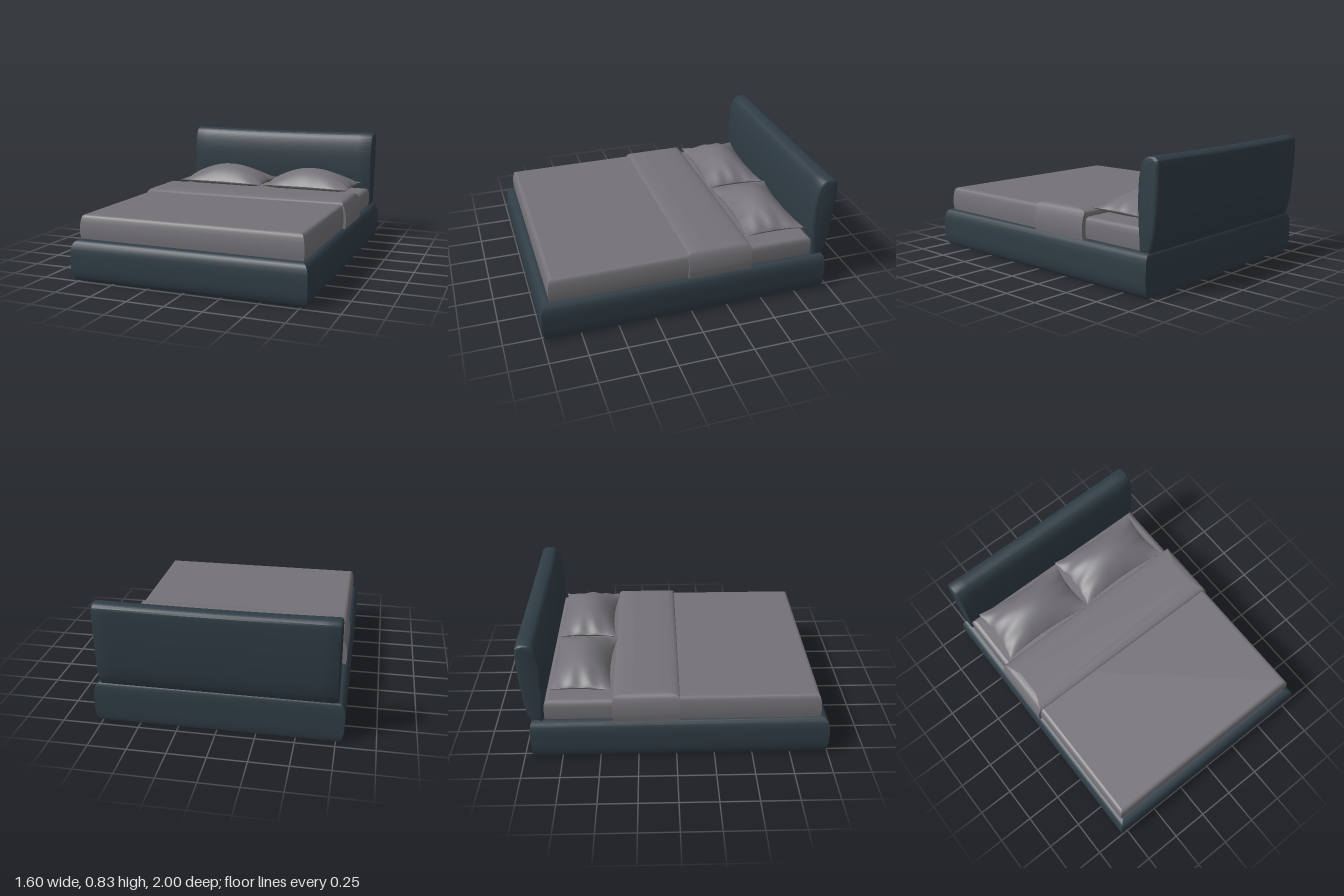
import * as THREE from 'three';
import { mergeGeometries, toCreasedNormals } from 'three/addons/utils/BufferGeometryUtils.js';

const slate = new THREE.MeshStandardMaterial({ color: 0x2f3c45 });
slate.name = 'slate upholstery';
const linen = new THREE.MeshStandardMaterial({ color: 0x747277 });
linen.name = 'grey linen';

function part(name, geometry, material) {
  const mesh = new THREE.Mesh(geometry, material);
  mesh.name = name;
  return mesh;
}

// Geometry from a list of corner points and faces
function patch(points, index) {
  const g = new THREE.BufferGeometry();
  g.setAttribute('position', new THREE.Float32BufferAttribute(points.flat(), 3));
  g.setIndex(index);
  g.computeVertexNormals();
  return g;
}

// Rectangular cushion with mitred corners.
// profile rows: [y, side inset, front inset, back inset], from bottom to top
function cushion(halfWidth, back, front, profile) {
  const rings = profile.map(([y, side, f, b]) => {
    const x = halfWidth - side;
    return [[x, y, front - f], [x, y, back + b], [-x, y, back + b], [-x, y, front - f]];
  });
  const pieces = [];
  for (let s = 0; s < 4; s++) {
    const points = [], index = [];
    rings.forEach((r, i) => {
      points.push(r[s], r[(s + 1) % 4]);
      if (i > 0) {
        const a = 2 * i - 2;
        index.push(a, a + 1, a + 3, a, a + 3, a + 2);
      }
    });
    pieces.push(patch(points, index));
  }
  pieces.push(patch(rings[rings.length - 1], [0, 1, 2, 0, 2, 3]));
  pieces.push(patch(rings[0], [0, 2, 1, 0, 3, 2]));
  return mergeGeometries(pieces);
}

// Upright panel: curved side profile swept across the width
function headboardGeometry() {
  const outline = [
    [-0.862, 0.268], [-0.85, 0.4], [-0.844, 0.55], [-0.848, 0.68], [-0.866, 0.775],
    [-0.895, 0.822], [-0.94, 0.835], [-0.982, 0.824], [-0.999, 0.785],
    [-0.995, 0.62], [-0.98, 0.44], [-0.962, 0.33], [-0.94, 0.268],
  ].map(([z, y]) => new THREE.Vector2(z, y));
  const shape = new THREE.Shape();
  shape.moveTo(outline[0].x, outline[0].y);
  shape.splineThru(outline.slice(1));
  shape.closePath();
  const half = 0.76, bevel = 0.02;
  const g = new THREE.ExtrudeGeometry(shape, {
    depth: 2 * (half - bevel), steps: 16, curveSegments: 36,
    bevelThickness: bevel, bevelSize: 0.022, bevelOffset: -0.022, bevelSegments: 5,
  });
  g.translate(0, 0, bevel - half);
  g.rotateY(-Math.PI / 2);
  // gentle sag of the top edge
  const p = g.attributes.position;
  for (let i = 0; i < p.count; i++) {
    const rise = Math.max(0, (p.getY(i) - 0.268) / 0.567);
    p.setY(i, p.getY(i) - 0.008 * rise * (1 - (p.getX(i) / half) ** 2));
  }
  return toCreasedNormals(g, 0.7);
}

// Pillow: two domed sheets meeting at a pinched seam with pointed corners
function pillowGeometry() {
  const sheets = [1, -1].map((up) => {
    const g = new THREE.PlaneGeometry(2, 2, 40, 32);
    g.rotateX(-up * Math.PI / 2);
    const p = g.attributes.position;
    for (let i = 0; i < p.count; i++) {
      const u = Math.sin(p.getX(i) * Math.PI / 2);
      const v = Math.sin(p.getZ(i) * Math.PI / 2);
      const a = Math.max(0, 1 - u * u), b = Math.max(0, 1 - v * v);
      const x = u * (0.342 - 0.025 * b);
      const z = v * (0.21 - 0.028 * a);
      const folds = 0.02 * Math.sin(11 * v + 2 * u) * u ** 4 * b * Math.sqrt(a)
        + 0.008 * Math.sin(13 * u + 1) * v ** 4 * a * Math.sqrt(b);
      const y = up > 0 ? 0.12 * a ** 0.8 * b ** 0.9 + folds : -0.052 * (a * b) ** 0.45;
      p.setXYZ(i, x, y, z);
    }
    g.computeVertexNormals();
    return g;
  });
  return mergeGeometries(sheets);
}

export function createModel() {
  const bed = new THREE.Group();
  bed.name = 'bed';

  // Padded base, fuller on the front and sides than on the back
  const baseProfile = [
    [0, 0.03], [0.008, 0.021], [0.03, 0.009], [0.065, 0.002], [0.1, 0], [0.17, 0],
    [0.205, 0.002], [0.235, 0.008], [0.255, 0.019], [0.266, 0.034], [0.27, 0.055],
  ].map(([y, d]) => [y, d, d, d * 0.35]);
  bed.add(part('base', cushion(0.8, -0.95, 1, baseProfile), slate));

  bed.add(part('headboard', headboardGeometry(), slate));

  // Mattress, seen at the head end
  const mattressProfile = [
    [0.26, 0.006], [0.3, 0], [0.36, 0], [0.385, 0.004], [0.398, 0.013], [0.404, 0.03],
  ].map(([y, d]) => [y, d, d, d]);
  bed.add(part('mattress', cushion(0.745, -0.855, 0.9, mattressProfile), linen));

  // Blanket over the foot end
  const blanketProfile = [
    [0.26, 0.006], [0.3, 0.001], [0.34, 0], [0.38, 0.004], [0.405, 0.009],
    [0.42, 0.015], [0.427, 0.023], [0.43, 0.035],
  ].map(([y, d]) => [y, d, d, 0]);
  bed.add(part('blanket', cushion(0.76, -0.36, 0.94, blanketProfile), linen));

  // Turned-down fold across the middle
  const foldProfile = [
    [0.26, 0.006, 0, 0], [0.3, 0.001, 0, 0], [0.33, 0, 0, 0], [0.37, 0.004, 0, 0],
    [0.405, 0.012, 0, 0], [0.428, 0.022, 0, 0], [0.438, 0.029, 0.006, 0.008],
    [0.446, 0.037, 0.025, 0.03], [0.452, 0.05, 0.06, 0.07], [0.455, 0.075, 0.12, 0.13],
  ];
  bed.add(part('blanketFold', cushion(0.777, -0.412, 0.022, foldProfile), linen));

  // Pair of pillows
  const pillow = pillowGeometry();
  for (const side of [1, -1]) {
    const mesh = part(side > 0 ? 'leftPillow' : 'rightPillow', pillow, linen);
    mesh.position.set(side * 0.343, 0.455, -0.617);
    mesh.rotation.y = side > 0 ? -0.015 : -0.03;
    bed.add(mesh);
  }
  return bed;
}
